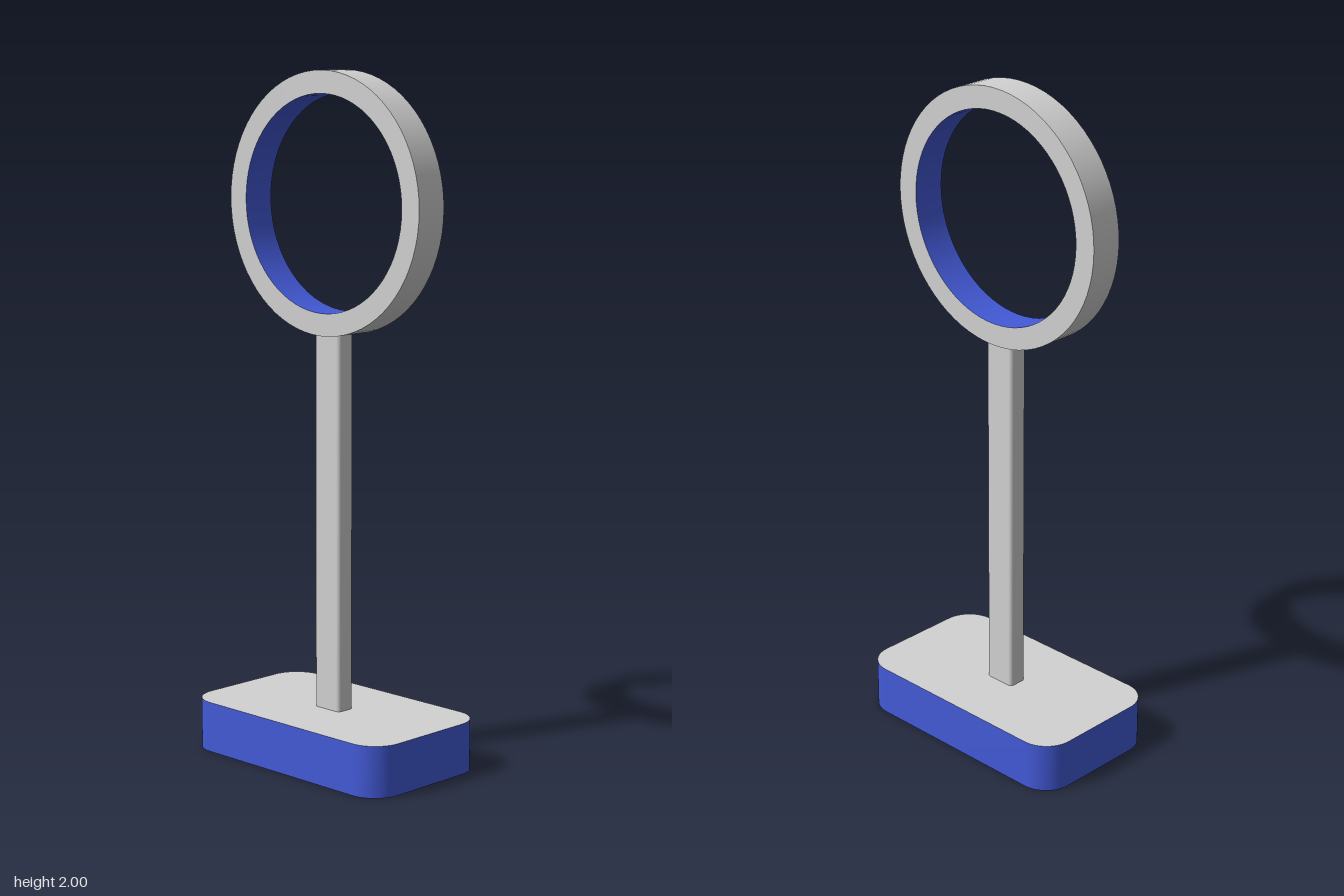
import * as THREE from 'three';

// Rounded rectangle outline, centred on the origin
function roundedRect(w, d, r) {
  const x = w / 2, y = d / 2, s = new THREE.Shape();
  s.moveTo(x, -y + r);
  s.lineTo(x, y - r);
  s.absarc(x - r, y - r, r, 0, Math.PI / 2);
  s.absarc(-x + r, y - r, r, Math.PI / 2, Math.PI);
  s.absarc(-x + r, -y + r, r, Math.PI, Math.PI * 1.5);
  s.absarc(x - r, -y + r, r, Math.PI * 1.5, Math.PI * 2);
  return s;
}

// Open vertical wall that follows an outline from y0 to y1
function wallGeometry(shape, y0, y1, segments) {
  const pts = shape.getPoints(segments);
  if (pts[0].distanceTo(pts[pts.length - 1]) < 1e-5) pts.pop();
  const n = pts.length, pos = [], idx = [];
  for (const p of pts) pos.push(p.x, y0, -p.y, p.x, y1, -p.y);
  for (let i = 0; i < n; i++) {
    const a = 2 * i, b = 2 * ((i + 1) % n);
    idx.push(a, b, b + 1, a, b + 1, a + 1);
  }
  const g = new THREE.BufferGeometry();
  g.setAttribute('position', new THREE.Float32BufferAttribute(pos, 3));
  g.setIndex(idx);
  g.computeVertexNormals();
  return g;
}

export function createModel() {
  const model = new THREE.Group();
  model.name = 'ringOnStand';
  const grey = new THREE.MeshStandardMaterial({ color: 0xd2d2d2, side: THREE.DoubleSide });
  grey.name = 'lightGrey';
  const blue = new THREE.MeshStandardMaterial({ color: 0x435ad8, side: THREE.DoubleSide });
  blue.name = 'blue';

  const add = (parent, name, geometry, material) => {
    const mesh = new THREE.Mesh(geometry, material);
    mesh.name = name;
    parent.add(mesh);
    return mesh;
  };

  // Hollow base, open underneath: blue skirt and grey top plate
  const base = new THREE.Group();
  base.name = 'base';
  const outline = roundedRect(0.768, 0.448, 0.09);
  add(base, 'baseSkirt', wallGeometry(outline, 0, 0.15, 12), blue);
  const plate = new THREE.ShapeGeometry(outline, 12);
  plate.rotateX(-Math.PI / 2);
  add(base, 'baseTop', plate, grey).position.y = 0.15;
  model.add(base);

  // Tubular post, reaching a little below the top plate
  add(model, 'post', wallGeometry(roundedRect(0.1, 0.06, 0.012), 0.075, 1.255, 4), grey);

  // Upright ring: grey outside and faces, blue lining
  const ring = new THREE.Group();
  ring.name = 'ring';
  const outer = 0.375, inner = 0.31, depth = 0.1, sides = 72;
  const bands = [['ringOuter', outer, grey], ['ringLining', inner, blue]];
  for (const [name, r, material] of bands) {
    const band = new THREE.CylinderGeometry(r, r, depth, sides, 1, true);
    band.rotateX(Math.PI / 2);
    add(ring, name, band, material);
  }
  for (const side of [1, -1]) {
    const face = add(ring, side > 0 ? 'ringFront' : 'ringBack',
      new THREE.RingGeometry(inner, outer, sides), grey);
    face.position.z = side * depth / 2;
    if (side < 0) face.rotation.y = Math.PI;
  }
  ring.position.y = 1.625;
  model.add(ring);

  return model;
}
